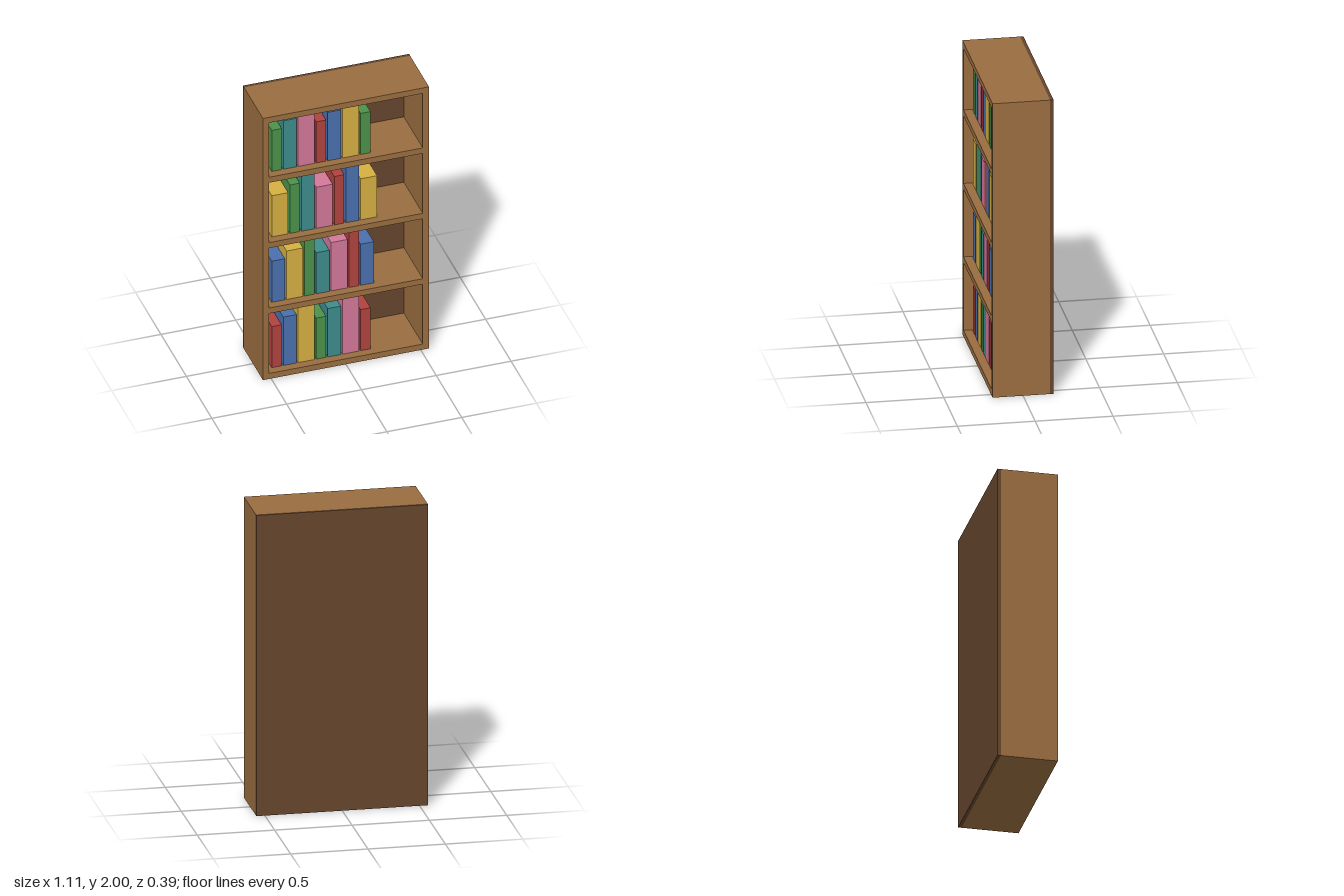
import * as THREE from 'three';

const material = (color) => new THREE.MeshStandardMaterial({ color });

export function createModel() {
  const model = new THREE.Group();
  const wood = material(0x996d40);
  const darkWood = material(0x65452d);
  const covers = [0xb04340, 0x4a70ae, 0xd6af42, 0x4b9249, 0x3d8c8c, 0xd27899].map(material);

  // Box given by its minimum and maximum corners
  function box(name, mat, [x0, y0, z0], [x1, y1, z1], parent = model) {
    const mesh = new THREE.Mesh(new THREE.BoxGeometry(x1 - x0, y1 - y0, z1 - z0), mat);
    mesh.position.set((x0 + x1) / 2, (y0 + y1) / 2, (z0 + z1) / 2);
    mesh.name = name;
    parent.add(mesh);
  }

  const W = 0.555, H = 2, T = 0.042, FRONT = 0.196, BACK = -0.196, PANEL = -0.174;
  const inner = W - T;

  // Case: side boards, top board and back panel
  box('rightSide', wood, [-W, 0, PANEL], [-inner, H, FRONT]);
  box('leftSide', wood, [inner, 0, PANEL], [W, H, FRONT]);
  box('topBoard', wood, [-inner, H - T, PANEL], [inner, H, FRONT]);
  box('backPanel', darkWood, [-W, 0, BACK], [W, H, PANEL]);

  // Four shelves, each with a row of seven books
  const widths = [0.066, 0.088, 0.11];
  const heights = [0.314, 0.37, 0.426];
  for (let row = 0; row < 4; row++) {
    const y = row * 0.5;
    box(row ? 'shelf' : 'bottomBoard', wood, [-inner, y, PANEL], [inner, y + T, FRONT]);

    const books = new THREE.Group();
    books.name = 'bookRow';
    model.add(books);
    let x = -0.477;
    for (let i = 0; i < 7; i++) {
      const w = widths[(i + row) % 3];
      // The tallest books of the top row stop just below the top board
      const top = Math.min(y + T + heights[i % 3], H - T - 0.001);
      box('book', covers[(i + row) % 6], [x, y + T, -0.145], [x + w, top, 0.14], books);
      x += w + 0.011;
    }
  }
  return model;
}
